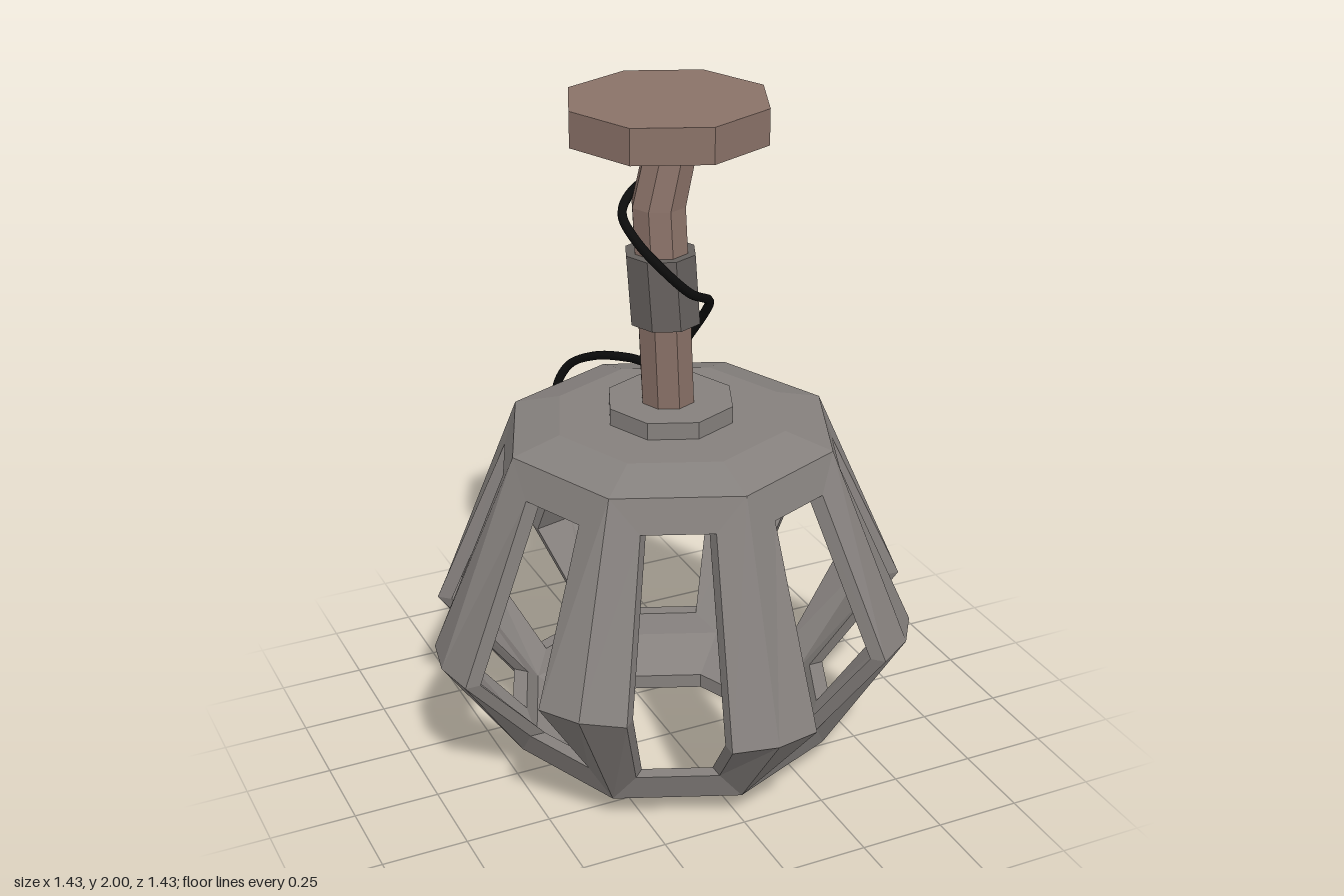
import * as THREE from 'three';

const SIDES = 8;
const STEP = (Math.PI * 2) / SIDES;

// Point at an angle round the vertical axis: r outward, w sideways, y up
function polar(a, r, w, y) {
  return [r * Math.cos(a) - w * Math.sin(a), y, r * Math.sin(a) + w * Math.cos(a)];
}

// Flat-shaded mesh from quads (top right, top left, bottom left, bottom right)
function quadMesh(name, quads, color) {
  const pos = [];
  for (const [a, b, c, d] of quads) {
    for (const tri of [[a, b, c], [a, c, d]]) {
      const thin = tri.some((p, i) => p.every((v, j) => v === tri[(i + 1) % 3][j]));
      if (!thin) pos.push(...tri.flat());
    }
  }
  const geo = new THREE.BufferGeometry();
  geo.setAttribute('position', new THREE.Float32BufferAttribute(pos, 3));
  geo.computeVertexNormals();
  const mesh = new THREE.Mesh(geo, new THREE.MeshStandardMaterial({ color, flatShading: true }));
  mesh.name = name;
  return mesh;
}

// Octagonal loft through rings [x, y, z, radius], listed from top to bottom
function loft(name, rings, color) {
  const first = rings[0], last = rings[rings.length - 1];
  const all = [[...first.slice(0, 3), 0], ...rings, [...last.slice(0, 3), 0]];
  const loops = all.map(([x, y, z, r]) => Array.from({ length: SIDES }, (_, k) => {
    const p = r ? polar(k * STEP, r, 0, y) : [0, y, 0];
    return [p[0] + x, p[1], p[2] + z];
  }));
  const quads = [];
  for (let i = 0; i < loops.length - 1; i++) {
    for (let k = 0; k < SIDES; k++) {
      const n = (k + 1) % SIDES;
      quads.push([loops[i][k], loops[i][n], loops[i + 1][n], loops[i + 1][k]]);
    }
  }
  return quadMesh(name, quads, color);
}

// Hand-made irregularity of each rib's elbow: [twist, height]
const ELBOWS = [[0.04, 0.48], [0.01, 0.48], [0.015, 0.39], [0, 0.48],
  [0, 0.42], [-0.04, 0.43], [-0.06, 0.435], [0.035, 0.47]];

// Corner points of one rib and its share of the rings; t is the inset of the inner skin
function ribPoints(k, t) {
  const a = k * STEP;
  const [twist, y] = ELBOWS[k];
  const m = a + twist;
  return {
    centre: [0, 1.08 - t, 0],
    cap: polar(a, 0.34 - t * 0.4, 0, 1.08 - t),
    T: polar(a, 0.48 - t, 0, 1.04 - t),
    TL: polar(a, 0.478 - t, 0.088, 0.945),
    TR: polar(a, 0.478 - t, -0.088, 0.945),
    M: polar(m, 0.717 - t, 0, y),
    ML: polar(m, 0.692 - t, 0.128, y),
    MR: polar(m, 0.692 - t, -0.128, y),
    BL: polar(a, 0.482 - t, 0.072, 0.17),
    BR: polar(a, 0.482 - t, -0.072, 0.17),
    B: polar(a, 0.48 - t, 0, 0.08 + t * 0.7),
    foot: polar(a, 0.28, 0, t),
  };
}

function buildCage(color) {
  const outer = ELBOWS.map((_, k) => ribPoints(k, 0));
  const inner = ELBOWS.map((_, k) => ribPoints(k, 0.045));
  const cap = [], ribs = [], base = [];

  for (let k = 0; k < SIDES; k++) {
    const n = (k + 1) % SIDES;
    // Outer and inner skins
    for (const s of [outer, inner]) {
      const p = s[k], q = s[n];
      const add = (list, ...quad) => list.push(s === outer ? quad : quad.reverse());
      add(cap, q.cap, p.cap, p.centre, p.centre);
      add(cap, p.cap, q.cap, q.T, p.T);
      add(cap, p.T, q.T, q.TR, p.TL);
      add(ribs, p.T, p.TL, p.ML, p.M);
      add(ribs, p.TR, p.T, p.M, p.MR);
      add(ribs, p.M, p.ML, p.BL, p.B);
      add(ribs, p.MR, p.M, p.B, p.BR);
      add(base, p.BL, q.BR, q.B, p.B);
      add(base, p.B, q.B, q.foot, p.foot);
    }
    // Thickness round each window and the hole underneath
    const edge = (list, i, a, j, b) => list.push([outer[i][a], outer[j][b], inner[j][b], inner[i][a]]);
    edge(cap, k, 'TL', n, 'TR');
    edge(ribs, n, 'TR', n, 'MR');
    edge(ribs, n, 'MR', n, 'BR');
    edge(base, n, 'BR', k, 'BL');
    edge(ribs, k, 'BL', k, 'ML');
    edge(ribs, k, 'ML', k, 'TL');
    edge(base, k, 'foot', n, 'foot');
  }

  const cage = new THREE.Group();
  cage.name = 'cage';
  cage.add(quadMesh('cageCap', cap, color), quadMesh('cageRibs', ribs, color),
    quadMesh('cageBaseRing', base, color));
  return cage;
}

// Cable that winds down the stem, over the cap edge and in through a rear window
function buildCable() {
  const path = [
    [0.13, 1.88, -0.09], [0.11, 1.8, -0.11], [0.04, 1.765, -0.105], [-0.06, 1.735, -0.09],
    [-0.13, 1.69, -0.03], [-0.13, 1.64, 0.06], [-0.08, 1.57, 0.125], [0, 1.49, 0.125],
    [0.09, 1.43, 0.06], [0.105, 1.38, 0.01], [0.085, 1.29, -0.05], [0.06, 1.22, -0.09],
    [0.03, 1.165, -0.15], [-0.01, 1.15, -0.26], [-0.07, 1.12, -0.38], [-0.12, 1.06, -0.47],
    [-0.155, 0.98, -0.48], [-0.15, 0.925, -0.42], [-0.13, 0.925, -0.32], [-0.11, 0.945, -0.2],
    [-0.08, 1.0, -0.14],
  ].map((p) => new THREE.Vector3(...p));
  const geo = new THREE.TubeGeometry(new THREE.CatmullRomCurve3(path), 120, 0.013, 8);
  const mesh = new THREE.Mesh(geo, new THREE.MeshStandardMaterial({ color: 0x0c0c0c }));
  mesh.name = 'cable';
  return mesh;
}

export function createModel() {
  const group = new THREE.Group();
  group.name = 'hangingLantern';
  const brown = 0x8a7268, iron = 0x85807d, dark = 0x65605d;

  // Ceiling plate with a tapered underside
  group.add(loft('ceilingPlate',
    [[-0.005, 2, -0.005, 0.285], [-0.005, 1.9, -0.005, 0.285], [0, 1.862, 0, 0.1]], brown));

  // Crooked stem and its collar
  group.add(loft('stem', [[0.005, 1.88, 0, 0.075], [-0.035, 1.71, 0, 0.078],
    [-0.028, 1.42, 0.018, 0.078], [-0.008, 1.1, 0.003, 0.078]], brown));
  group.add(loft('stemCollar',
    [[-0.035, 1.58, 0.01, 0.102], [-0.025, 1.38, 0.02, 0.102]], dark));

  // Flange on the cap
  group.add(loft('flange', [[0, 1.13, 0, 0.186], [0, 1.07, 0, 0.186]], iron));

  group.add(buildCage(iron));
  group.add(buildCable());
  return group;
}
